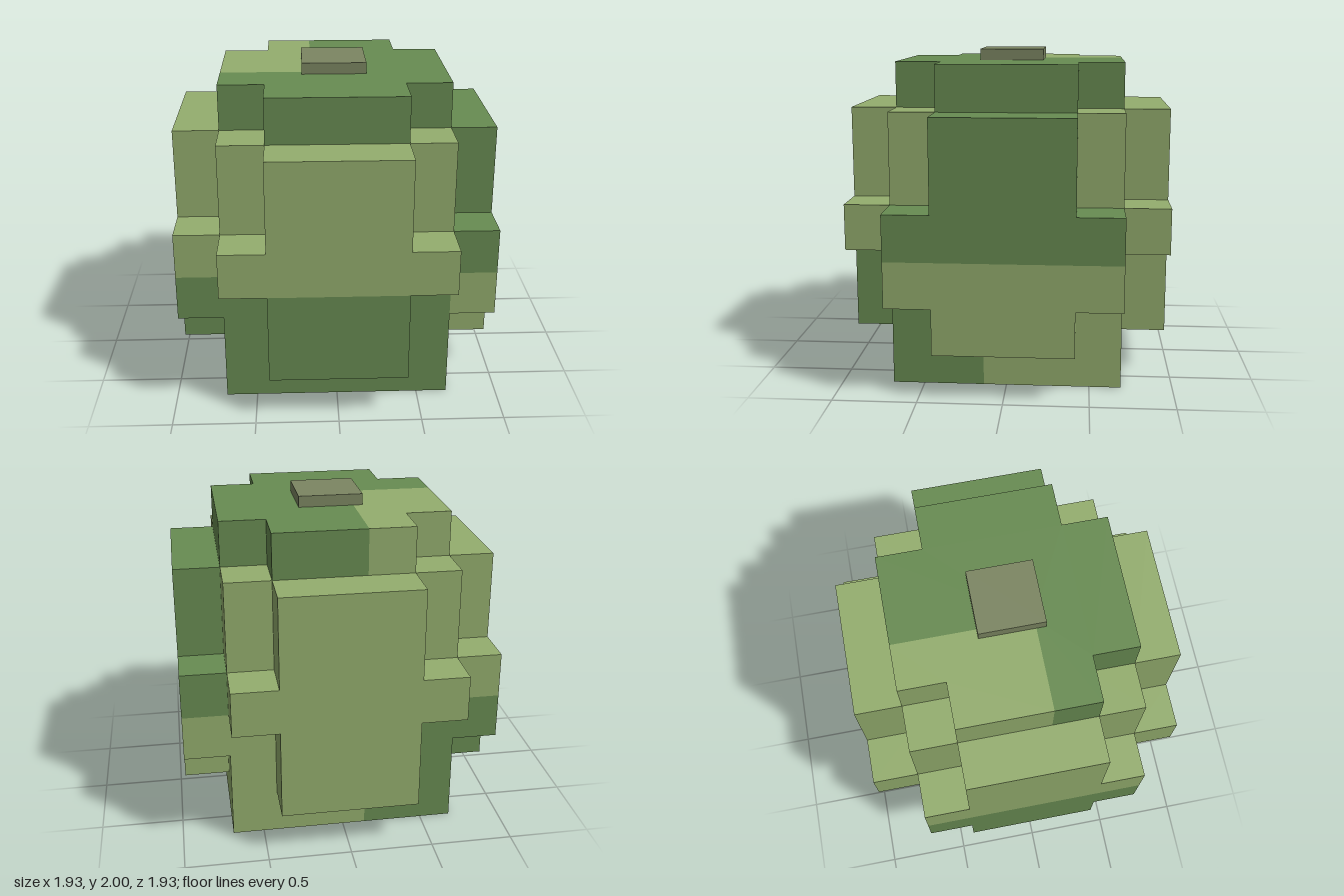
import * as THREE from 'three';

const U = 0.276; // one block

export function createModel() {
  const model = new THREE.Group();
  model.name = 'blockyFruit';

  const material = (name, color) => {
    const m = new THREE.MeshStandardMaterial({ color });
    m.name = name;
    return m;
  };
  const light = material('lightGreen', 0x94ae6e);
  const dark = material('darkGreen', 0x688c52);
  const stemColor = material('greyGreen', 0x7c8662);

  // Extrude an outline given in blocks
  const extrude = (points, depth) => new THREE.ExtrudeGeometry(
    new THREE.Shape(points.map(([x, y]) => new THREE.Vector2(x * U, y * U))),
    { depth: depth * U, bevelEnabled: false });

  const add = (parent, name, geometry, mat) => {
    const mesh = new THREE.Mesh(geometry, mat);
    mesh.name = name;
    parent.add(mesh);
    return mesh;
  };

  // Horizontal layer with an [x, z] plan, from y0 to y1
  const layer = (name, plan, y0, y1, mat) => {
    const geometry = extrude(plan.map(([x, z]) => [x, -z]), y1 - y0);
    geometry.rotateX(-Math.PI / 2).translate(0, y0 * U, 0);
    return add(model, name, geometry, mat);
  };

  // Body: two-tone base below, plain core above
  layer('baseLight', [[-0.5, -2.5], [2.5, -2.5], [2.5, 0.5], [-0.5, 0.5]], 0, 3, light);
  layer('baseDark', [[-2.5, -2.5], [-0.5, -2.5], [-0.5, 0.5], [2.5, 0.5],
    [2.5, 2.5], [-2.5, 2.5]], 0, 3, dark);
  layer('upperCore', [[-2.5, -2.5], [2.5, -2.5], [2.5, 2.5], [-2.5, 2.5]], 3, 6, light);

  // Cap: a cross with one light quarter
  layer('capLight', [[-0.5, 0.5], [-2.5, 0.5], [-2.5, -1.5], [-1.5, -1.5],
    [-1.5, -2.5], [-0.5, -2.5]], 6, 7, light);
  layer('capDark', [[-0.5, -2.5], [1.5, -2.5], [1.5, -1.5], [2.5, -1.5], [2.5, 1.5],
    [1.5, 1.5], [1.5, 2.5], [-1.5, 2.5], [-1.5, 1.5], [-2.5, 1.5], [-2.5, 0.5],
    [-0.5, 0.5]], 6, 7, dark);

  // Stem
  const stem = add(model, 'stem', new THREE.BoxGeometry(0.39, 0.068, 0.39), stemColor);
  stem.position.y = 7 * U + 0.034;

  // Raised side panels with arms; wide ones carry the arms one block lower
  const upperOutline = [[-2.5, 3], [2.5, 3], [2.5, 4], [1.5, 4], [1.5, 6],
    [-1.5, 6], [-1.5, 4], [-2.5, 4]];
  const narrowLower = [[-1.5, 1], [1.5, 1], [1.5, 3], [-1.5, 3]];
  const wideLower = [[-1.5, 1], [1.5, 1], [1.5, 2], [2.5, 2], [2.5, 3],
    [-2.5, 3], [-2.5, 2], [-1.5, 2]];

  const panels = [
    ['frontPanel', 0, narrowLower, light, dark],
    ['leftPanel', 1, wideLower, dark, light],
    ['backPanel', 2, narrowLower, light, light],
    ['rightPanel', 3, wideLower, light, dark],
  ];
  for (const [name, turn, lowerOutline, upperMat, lowerMat] of panels) {
    const panel = new THREE.Group();
    panel.name = name;
    panel.rotation.y = turn * Math.PI / 2;
    for (const [part, outline, mat] of [
      ['Upper', upperOutline, upperMat], ['Lower', lowerOutline, lowerMat]]) {
      add(panel, name + part, extrude(outline, 1), mat).position.z = 2.5 * U;
    }
    model.add(panel);
  }

  return model;
}
